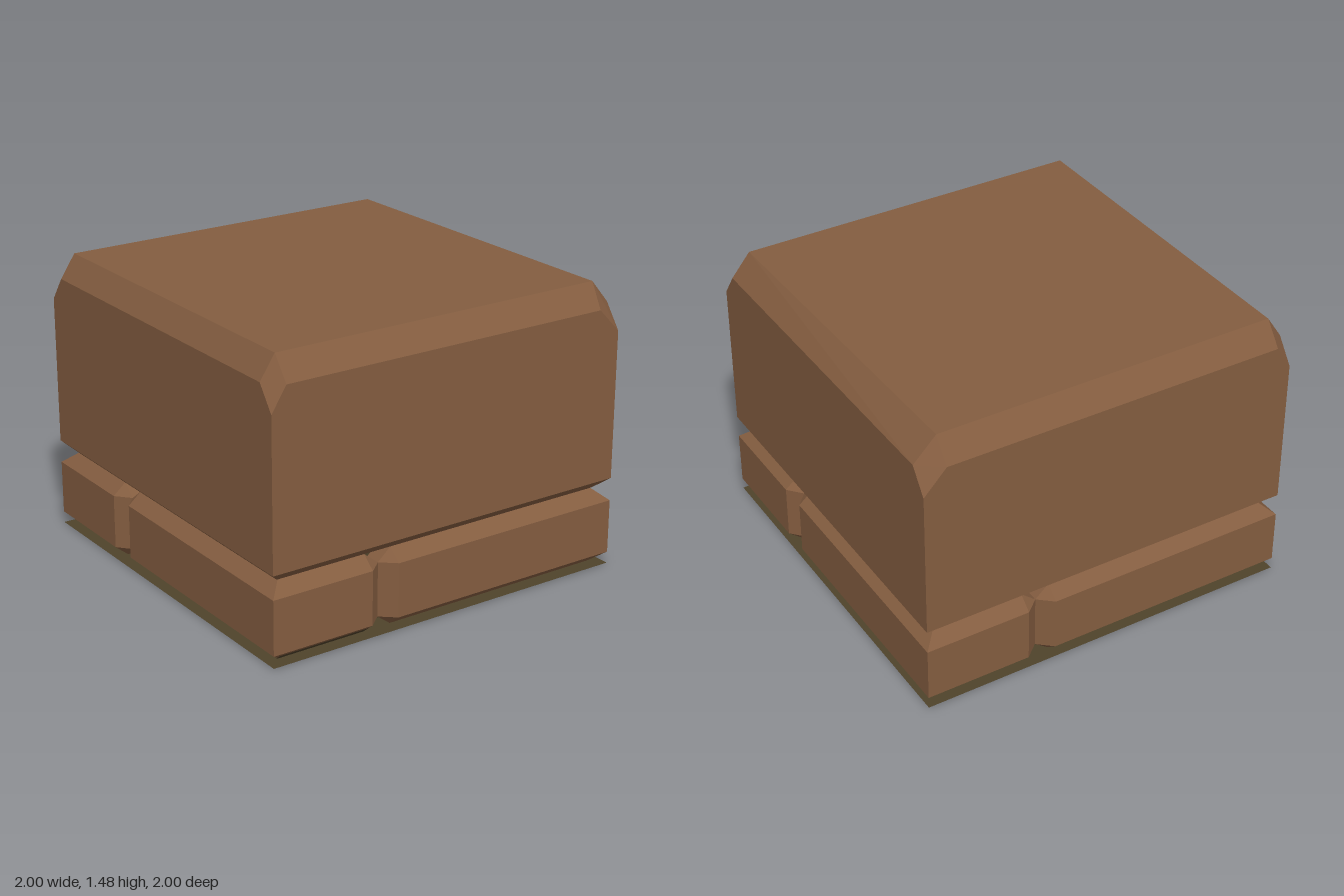
import * as THREE from 'three';
import { ConvexGeometry } from 'three/addons/geometries/ConvexGeometry.js';

const V = (x, y, z) => new THREE.Vector3(x, y, z);

function material(name, color, side = THREE.FrontSide) {
  const m = new THREE.MeshStandardMaterial({ color, side });
  m.name = name;
  return m;
}

// Lift a flat outline of [x, z] pairs to height y
const ring = (outline, y) => outline.map(([x, z]) => V(x, y, z));
const rect = (x0, x1, z0, z1) => [[x0, z0], [x1, z0], [x1, z1], [x0, z1]];

export function createModel() {
  const group = new THREE.Group();
  const brown = material('brown stone', 0x845d40);
  const olive = material('olive mortar', 0x4f432b, THREE.DoubleSide);
  const black = material('black underside', 0x000000);

  const add = (name, geometry, mat, parent = group) => {
    const mesh = new THREE.Mesh(geometry, mat);
    mesh.name = name;
    parent.add(mesh);
    return mesh;
  };

  // Large block: bevelled bottom, sloped top edges and cut top corners
  const block = [...ring(rect(-0.935, 0.935, -0.93, 0.93), 0.405), ...ring(rect(-1, 1, -1, 1), 0.465)];
  for (const sx of [-1, 1]) {
    for (const sz of [-1, 1]) {
      const tx = sx < 0 ? -0.92 : sz < 0 ? 0.88 : 0.9;
      const fx = sx < 0 ? -0.92 : 0.88;
      block.push(
        V(sx, 1.235, sz),
        V(fx, 1.36, sz),
        V(sx, 1.36, sz * 0.91),
        V(tx, 1.48, sz * 0.91),
      );
    }
  }
  add('upperBlock', new ConvexGeometry(block), brown);

  // Lower course: four bevelled bricks laid in a pinwheel
  const middle = [[-0.3, 1], [1, 1], [1, 0.45], [0.935, 0.375], [-0.375, 0.375], [-0.375, 0.935]];
  const cap = rect(-0.3, 0.93, 0.45, 0.93);
  const brick = new ConvexGeometry([
    ...ring(cap, 0.008), ...ring(middle, 0.065), ...ring(middle, 0.345), ...ring(cap, 0.405),
  ]);
  for (let i = 0; i < 4; i++) add('lowerBrick', brick, brown).rotation.y = i * Math.PI / 2;

  // Mortar core showing at the ends of the joints
  const core = add('mortarCore', new THREE.BoxGeometry(1.7, 0.39, 1.7), olive);
  core.position.y = 0.2;

  // Base sheet reaching the full footprint
  const sheet = add('baseSheet', new THREE.PlaneGeometry(2, 2), olive);
  sheet.rotation.x = -Math.PI / 2;
  sheet.position.y = 0.004;

  // Dark underside with a small notch at each joint
  const outline = [];
  for (let i = 0; i < 4; i++) {
    const edge = [[-0.91, 0.91], [-0.46, 0.91], [-0.42, 0.85], [-0.33, 0.85], [-0.29, 0.91]];
    for (const [x, y] of edge) {
      outline.push(new THREE.Vector2(x, y).rotateAround(new THREE.Vector2(), -i * Math.PI / 2));
    }
  }
  // Shape y maps to +z when turned to face down
  const underside = add('underside', new THREE.ShapeGeometry(new THREE.Shape(outline)), black);
  underside.rotation.x = Math.PI / 2;

  // Mortar stain along the lower bevel of the short front brick
  const stain = new THREE.BufferGeometry().setFromPoints([
    V(-0.95, 0.012, 0.938), V(-0.46, 0.012, 0.938), V(-0.46, 0.05, 0.986), V(-0.96, 0.05, 0.986),
  ]);
  stain.setIndex([0, 1, 2, 0, 2, 3]);
  stain.computeVertexNormals();
  add('mortarStain', stain, olive);

  return group;
}
